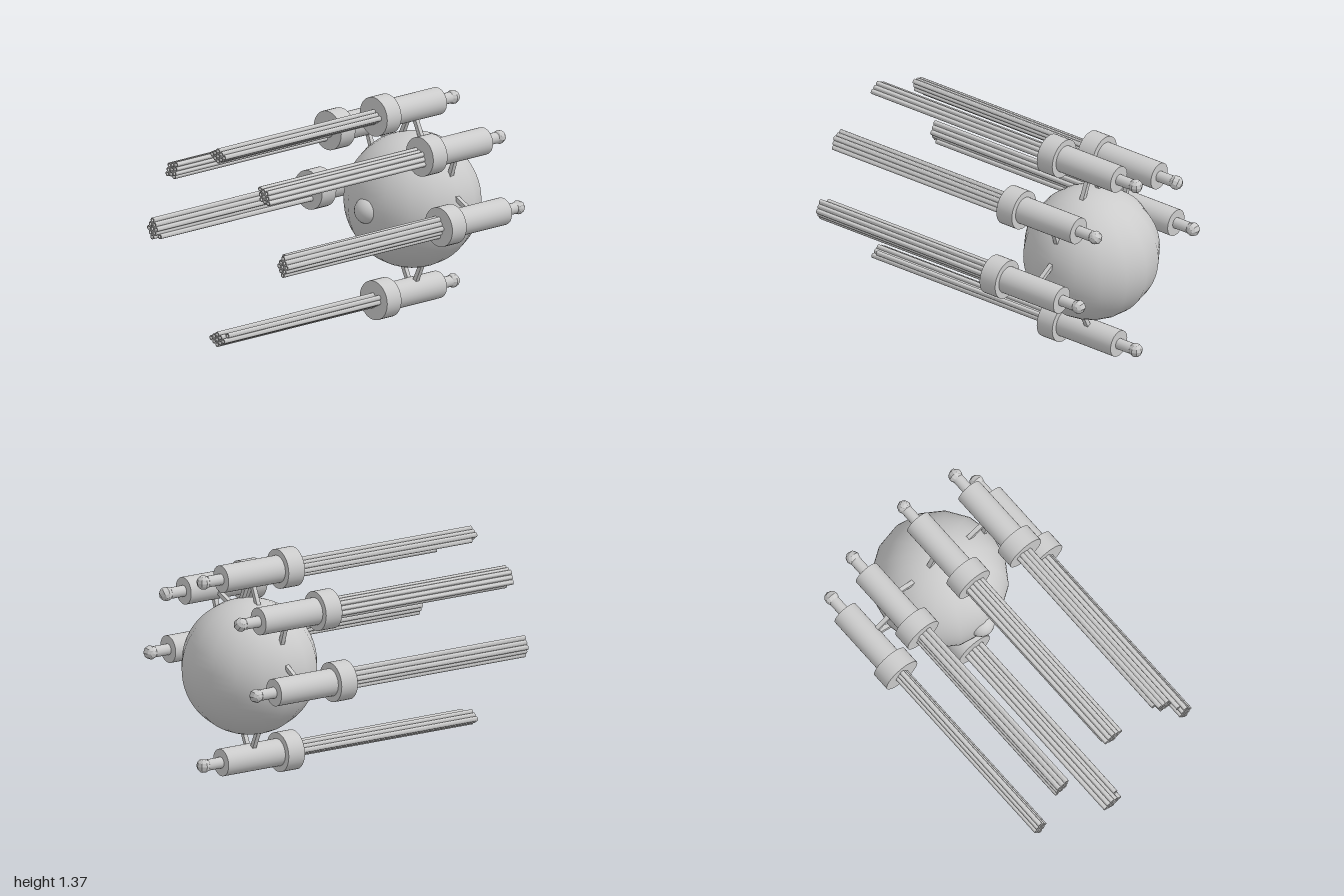
import * as THREE from 'three';
import { toCreasedNormals } from 'three/addons/utils/BufferGeometryUtils.js';

const smooth = new THREE.MeshStandardMaterial({ color: 0xcccccc });
const faceted = new THREE.MeshStandardMaterial({ color: 0xcccccc, flatShading: true });

function add(parent, name, geometry, x, y, z, material = smooth) {
  const mesh = new THREE.Mesh(geometry, material);
  mesh.name = name;
  mesh.position.set(x, y, z);
  parent.add(mesh);
  return mesh;
}

// Cylinder lying along z between two depths
function rod(parent, name, radius, z0, z1, sides = 32) {
  const geometry = new THREE.CylinderGeometry(radius, radius, z1 - z0, sides).rotateX(Math.PI / 2);
  return add(parent, name, geometry, 0, 0, (z0 + z1) / 2);
}

// Hollow barrel along +z, starting at z = 0, with a bored muzzle
function barrelGeometry(length) {
  const outer = 0.0155, inner = 0.009, bore = 0.15;
  const profile = [[outer, 0], [outer, length], [inner, length], [inner, length - bore], [0, length - bore]]
    .map(([r, y]) => new THREE.Vector2(r, y));
  return toCreasedNormals(new THREE.LatheGeometry(profile, 12).rotateX(Math.PI / 2), 0.7);
}

// Barrel cluster: local x, y and muzzle depth
const barrels = [
  [0.004, 0, 1], [0.004, 0.031, 1], [0.004, -0.031, 1],
  [-0.022, 0.016, 1], [-0.022, -0.016, 1], [0.03, 0.016, 1], [0.03, -0.016, 1],
  [0.055, 0, 1], [-0.048, 0.003, 1], [-0.048, -0.026, 0.965],
];

// One gun pod, with its local -y pointing at the body
function createPod() {
  const pod = new THREE.Group();
  rod(pod, 'collar', 0.12, -0.385, -0.27);
  rod(pod, 'housing', 0.083, -0.79, -0.385);
  rod(pod, 'rearPin', 0.034, -0.89, -0.79, 16);
  add(pod, 'rearKnob', new THREE.SphereGeometry(0.043, 8, 6), 0, 0, -0.915, faceted);
  for (const [x, y, end] of barrels) add(pod, 'barrel', barrelGeometry(end + 0.3), x, y, -0.3);

  // Pair of splayed struts down to the body
  for (const side of [-1, 1]) {
    const strut = new THREE.BoxGeometry(0.027, 0.21, 0.027).translate(0, -0.105, 0);
    add(pod, 'strut', strut, 0, 0, -0.582).rotation.z = side * 0.45;
  }
  return pod;
}

export function createModel() {
  const model = new THREE.Group();
  const centreY = 0.691, ringRadius = 0.566;

  // Round body with a small nose
  add(model, 'body', new THREE.SphereGeometry(0.41, 16, 32), 0, centreY, -0.587);
  add(model, 'nose', new THREE.SphereGeometry(0.081, 24, 16), 0.005, centreY, -0.217);

  // Six pods round the body: top, sides, upper diagonals and bottom
  for (const degrees of [0, 45, 90, 180, -90, -45]) {
    const angle = THREE.MathUtils.degToRad(degrees);
    const pod = createPod();
    pod.name = 'gunPod';
    pod.position.set(-Math.sin(angle) * ringRadius, centreY + Math.cos(angle) * ringRadius, 0);
    pod.rotation.z = angle;
    model.add(pod);
  }
  return model;
}
